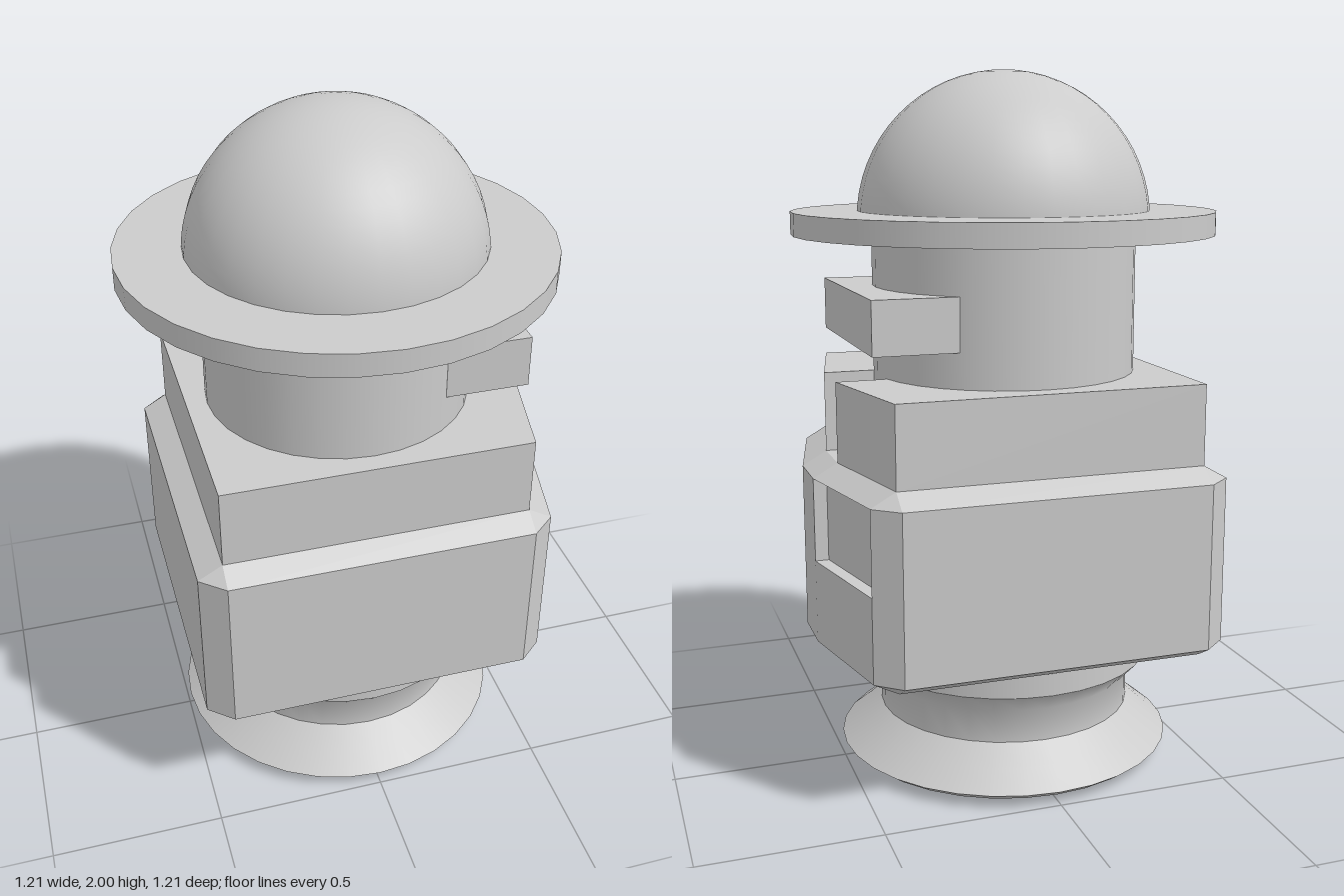
import * as THREE from 'three';

const grey = new THREE.MeshStandardMaterial({ color: 0xcccccc });
const flat = new THREE.MeshStandardMaterial({ color: 0xcccccc, flatShading: true });

// Completes a plan outline of [x, z] points by mirroring it across z = 0
const mirror = (half) => [...half, ...half.map(([x, z]) => [x, -z]).reverse()];

// Flat-sided solid through matching outlines: levels = [[y, outline], ...]
function loft(levels, capBottom, capTop) {
  const pos = [];
  const put = (y, ...pts) => pts.forEach(([x, z]) => pos.push(x, y, z));
  for (let l = 0; l < levels.length - 1; l++) {
    const [y0, a] = levels[l], [y1, b] = levels[l + 1];
    for (let i = 0; i < a.length; i++) {
      const j = (i + 1) % a.length;
      put(y0, a[i], a[j]); put(y1, b[j]);
      put(y0, a[i]); put(y1, b[j], b[i]);
    }
  }
  const cap = ([y, o], up) => {
    const pts = o.map(([x, z]) => new THREE.Vector2(x, -z));
    for (const [a, b, c] of THREE.ShapeUtils.triangulateShape(pts, [])) {
      if (up) put(y, o[a], o[b], o[c]);
      else put(y, o[a], o[c], o[b]);
    }
  };
  if (capBottom) cap(levels[0], false);
  if (capTop) cap(levels[levels.length - 1], true);
  const geo = new THREE.BufferGeometry();
  geo.setAttribute('position', new THREE.Float32BufferAttribute(pos, 3));
  geo.computeVertexNormals();
  return geo;
}

// Turned solid; each section is smooth, with a hard edge between sections
function turned(name, sections) {
  const group = new THREE.Group();
  group.name = name;
  for (const s of sections) {
    const geo = new THREE.LatheGeometry(s.map(([r, y]) => new THREE.Vector2(r, y)), 32, Math.PI / 2);
    group.add(new THREE.Mesh(geo, grey));
  }
  return group;
}

export function createModel() {
  const model = new THREE.Group();
  const add = (name, geo, mat = grey, x = 0, y = 0, z = 0) => {
    const mesh = new THREE.Mesh(geo, mat);
    mesh.name = name;
    mesh.position.set(x, y, z);
    model.add(mesh);
    return mesh;
  };

  // Flared foot with a narrow neck
  model.add(turned('foot', [
    [[0, 0], [0.43, 0.005]],
    [[0.43, 0.005], [0.465, 0.015], [0.495, 0.037]],
    [[0.495, 0.037], [0.43, 0.09], [0.375, 0.14]],
    [[0.375, 0.14], [0.375, 0.235], [0.43, 0.295]],
    [[0.43, 0.295], [0.43, 0.38]],
  ]));

  // Chamfered body, pointed out towards +x, with two shallow side recesses
  const full = mirror([[-0.51, 0.44], [-0.44, 0.5], [0.44, 0.5], [0.51, 0.44], [0.588, 0.08]]);
  const inset = mirror([[-0.44, 0.44], [-0.44, 0.44], [0.44, 0.44], [0.44, 0.44], [0.518, 0.08]]);
  const notched = mirror([[-0.51, 0.44], [-0.44, 0.5], [0.44, 0.5], [0.51, 0.44],
    [0.472, 0.435], [0.55, 0.08], [0.588, 0.08]]);
  add('bodyLower', loft([[0.365, inset], [0.4, full], [0.64, full]], true, true), flat);
  add('bodyRecessedBand', loft([[0.64, notched], [0.88, notched]], false, false), flat);
  add('bodyTop', loft([[0.88, full], [0.92, inset]], true, true), flat);

  // Raised collar, split by a slot on the +x side
  const collar = mirror([[-0.44, 0.44], [0.44, 0.44], [0.518, 0.08], [0.3, 0.08]]);
  add('collar', loft([[0.92, collar], [1.15, collar]], false, true), flat);

  // Head, visor, brim and dome
  add('head', new THREE.CylinderGeometry(0.38, 0.38, 0.65, 32, 1, true), grey, 0, 1.225);
  add('visor', new THREE.BoxGeometry(0.24, 0.15, 0.61), grey, 0.345, 1.325);
  add('brim', new THREE.CylinderGeometry(0.607, 0.607, 0.065, 32), grey, 0, 1.577);
  add('dome', new THREE.SphereGeometry(0.42, 32, 16, 0, Math.PI * 2, 0, Math.PI / 2), grey, 0, 1.58);

  return model;
}
